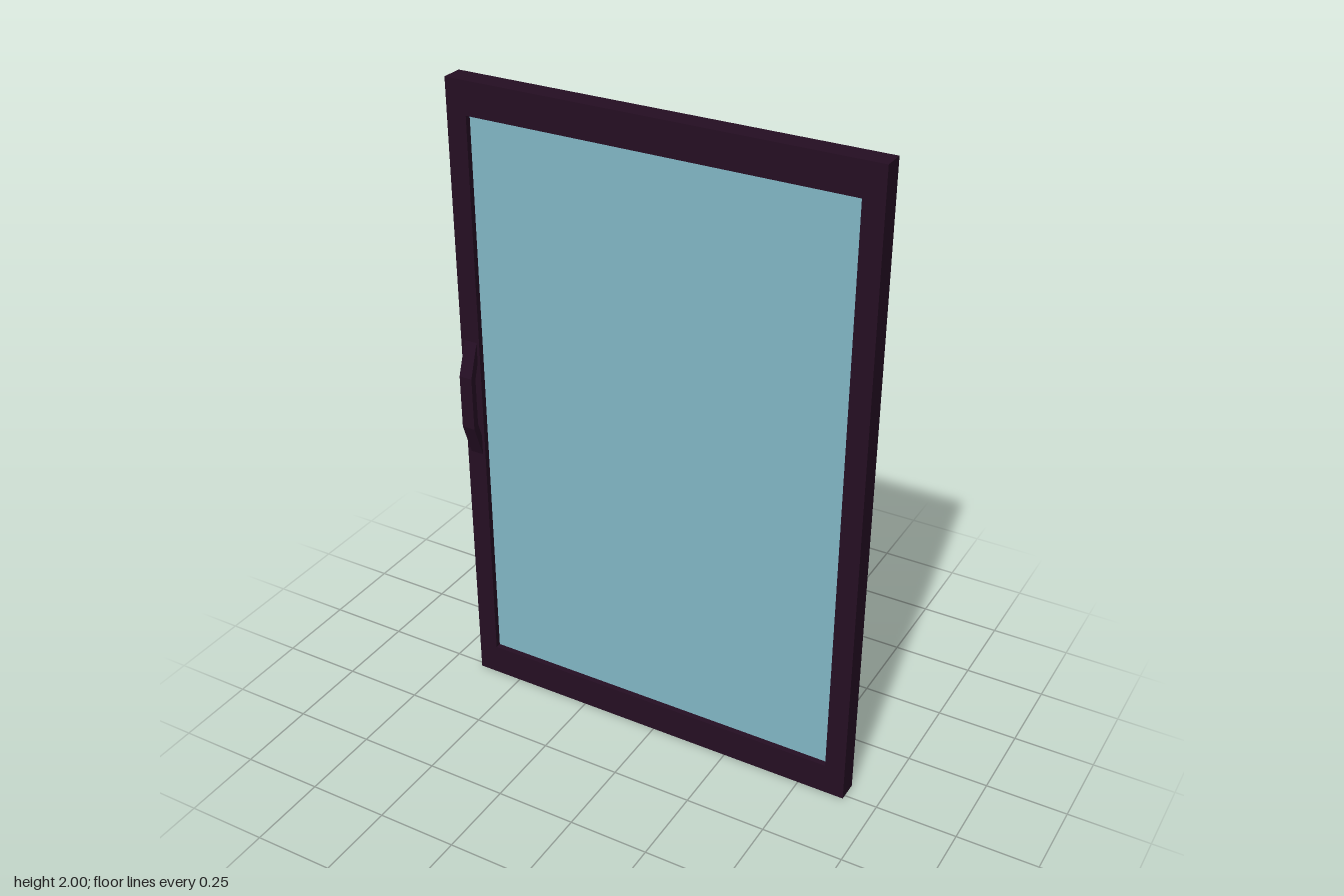
import * as THREE from 'three';

export function createModel() {
  const model = new THREE.Group();
  const frameMat = new THREE.MeshStandardMaterial({ color: 0x250e23 });
  frameMat.name = 'dark plum';
  const glassMat = new THREE.MeshStandardMaterial({ color: 0x82b7c5 });
  glassMat.name = 'pale blue glass';

  const add = (name, geometry, material) => {
    const mesh = new THREE.Mesh(geometry, material);
    mesh.name = name;
    model.add(mesh);
    return mesh;
  };
  const polygon = (Type, points) => new Type(points.map(([x, y]) => new THREE.Vector2(x, y)));
  const extrude = (shape, depth) => new THREE.ExtrudeGeometry(shape, { depth, bevelEnabled: false });

  // Rectangular frame with a glazed opening
  const outline = polygon(THREE.Shape, [[-0.648, 0], [0.648, 0], [0.648, 2], [-0.648, 2]]);
  outline.holes.push(polygon(THREE.Path, [[-0.585, 0.1], [-0.585, 1.9], [0.585, 1.9], [0.585, 0.1]]));
  add('frame', extrude(outline, 0.066).translate(0, 0, -0.051), frameMat);

  // Pane set back from both faces
  add('glassPane', new THREE.BoxGeometry(1.17, 1.8, 0.022).translate(0, 1, -0.014), glassMat);

  // Bent pull handle: side profile in (z, y), extruded across x
  const profile = polygon(THREE.Shape, [
    [0.013, 0.82], [0.051, 0.93], [0.051, 1.1], [0.013, 1.21],
    [0.013, 1.145], [0.031, 1.09], [0.031, 0.94], [0.013, 0.885],
  ]);
  add('handle', extrude(profile, 0.042).rotateY(-Math.PI / 2).translate(-0.594, 0, 0), frameMat);

  return model;
}
